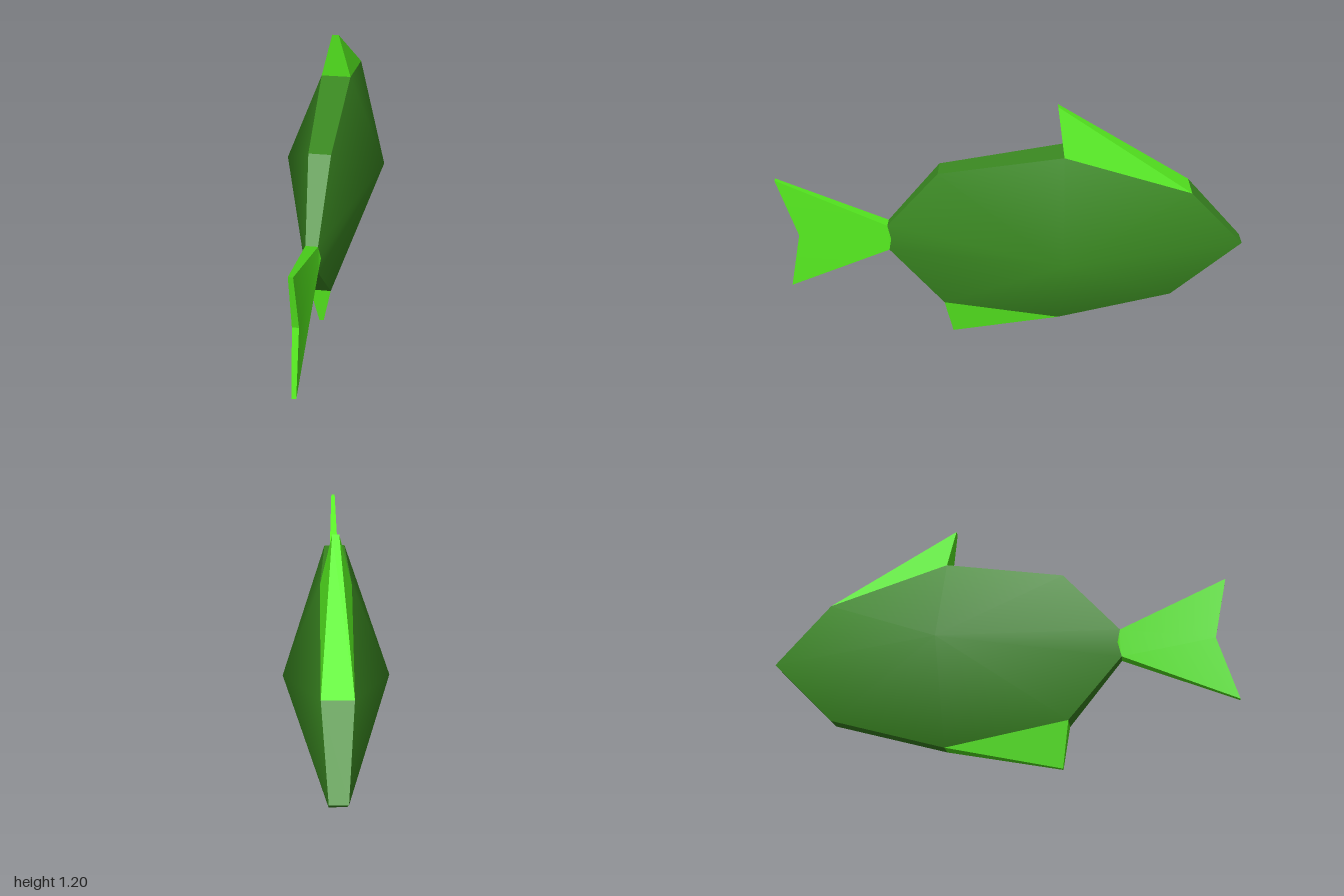
import * as THREE from 'three';
import { mergeGeometries, toCreasedNormals } from 'three/addons/utils/BufferGeometryUtils.js';

const bodyMat = new THREE.MeshStandardMaterial({ color: 0x3b8a22 });
const finMat = new THREE.MeshStandardMaterial({ color: 0x57ee20 });

function facets(points, crease) {
  const geo = new THREE.BufferGeometry();
  geo.setAttribute('position', new THREE.Float32BufferAttribute(points, 3));
  return toCreasedNormals(geo, crease);
}

// Slab from an outline of [z, y, halfThickness], anticlockwise seen from +x.
// Edges listed in open get no rim, as another part joins there.
// With an apex [z, y, halfThickness], each side swells into a smooth fan around it.
function slab(outline, open, apex) {
  const sides = [], rim = [];
  const put = (list, p, side) => list.push(side * p[2], p[1], p[0]);
  const tri = (a, b, c) => {
    for (const p of [a, b, c]) put(sides, p, 1);
    for (const p of [a, c, b]) put(sides, p, -1);
  };
  outline.forEach((a, i) => {
    const b = outline[(i + 1) % outline.length];
    if (apex) tri(apex, a, b);
    if (open.includes(i)) return;
    put(rim, a, -1); put(rim, b, -1); put(rim, b, 1);
    put(rim, a, -1); put(rim, b, 1); put(rim, a, 1);
  });
  if (!apex) {
    const flat = outline.map(([z, y]) => new THREE.Vector2(-z, y));
    for (const t of THREE.ShapeUtils.triangulateShape(flat, [])) tri(...t.map((i) => outline[i]));
  }
  return mergeGeometries([facets(sides, 1), facets(rim, 0.1)]);
}

export function createModel() {
  const fish = new THREE.Group();
  fish.name = 'fish';
  const add = (name, material, outline, open, apex) => {
    const mesh = new THREE.Mesh(slab(outline, open, apex), material);
    mesh.name = name;
    fish.add(mesh);
  };

  // Rim points shared between the body and the fins
  const tailLow = [0.556, 0.485, 0.025];
  const tailMid = [0.542, 0.55, 0.035];
  const tailHigh = [0.556, 0.615, 0.025];
  const bellyBack = [0.316, 0.2, 0.046];
  const bellyFront = [-0.219, 0.11, 0.034];
  const backTop = [-0.221, 0.99, 0.065];
  const brow = [-0.772, 0.822, 0.062];

  // Body: flat rim with a swollen side on each flank
  add('body', bodyMat, [
    tailLow, bellyBack, bellyFront, [-0.735, 0.26, 0.037], [-1.027, 0.55, 0.036],
    brow, backTop, [0.316, 0.897, 0.046], tailHigh, tailMid,
  ], [1, 5, 8, 9], [-0.228, 0.55, 0.23]);

  // Forked tail, tapering to thin tips
  add('tailFin', finMat, [
    [1.033, 0.265, 0.009], tailLow, tailMid, tailHigh, [1.033, 0.835, 0.009], [0.962, 0.55, 0.013],
  ], [1, 2]);

  // Wedge fins above and below
  add('dorsalFin', finMat, [backTop, brow, [-0.19, 1.2, 0.014]], [0]);
  add('bellyFin', finMat, [[0.284, 0, 0.01], bellyFront, bellyBack], [1]);

  // The fish stands turned slightly to its left
  fish.rotation.y = Math.PI / 12;
  fish.position.x = 0.011;
  const model = new THREE.Group();
  model.add(fish);
  return model;
}
